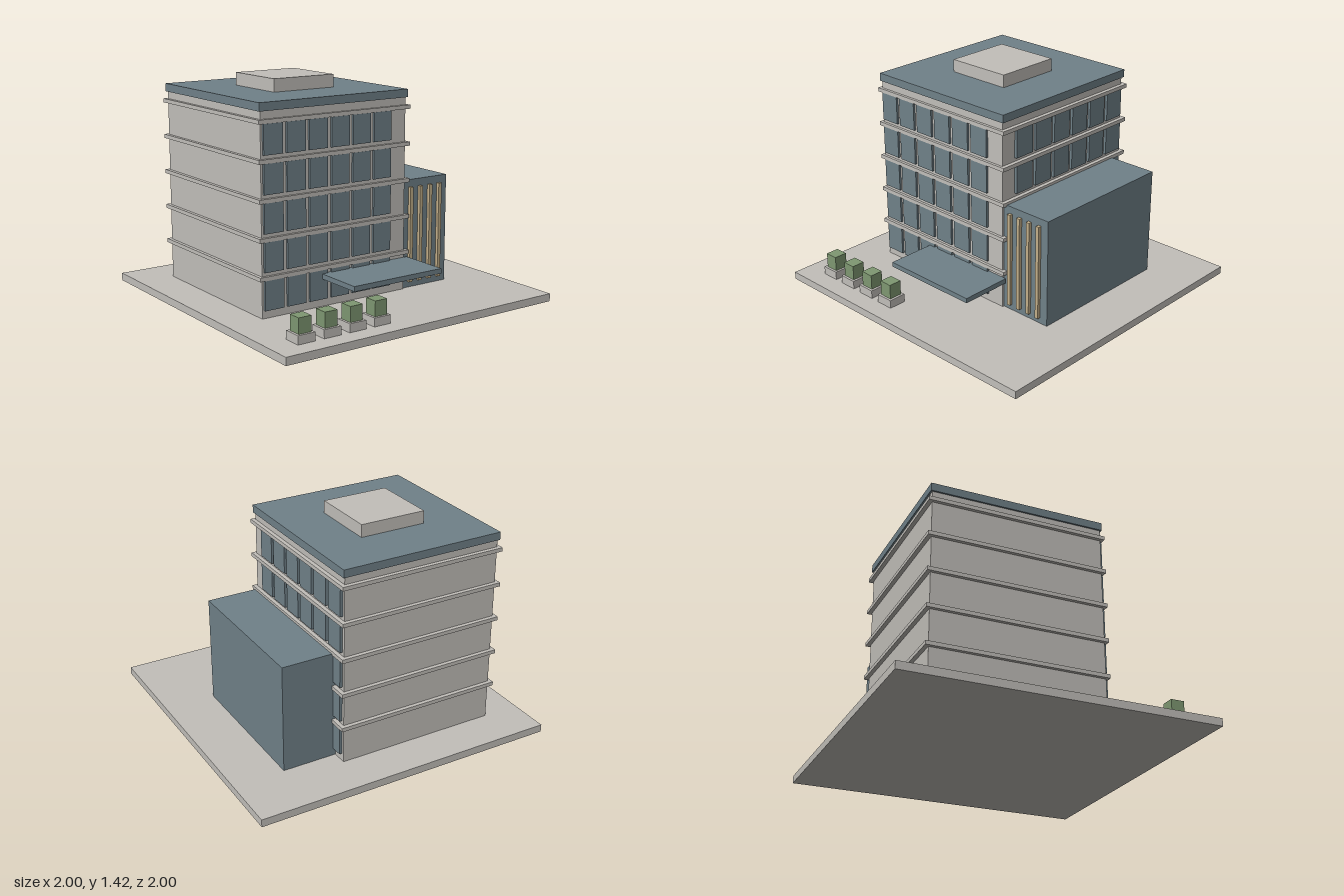
import * as THREE from 'three';

export function createModel() {
  const model = new THREE.Group();
  model.name = 'officeBuilding';

  const mat = (name, color) => {
    const m = new THREE.MeshStandardMaterial({ color });
    m.name = name;
    return m;
  };
  const concrete = mat('paleConcrete', 0xc2bfba);
  const slate = mat('slateBlue', 0x708189);
  const tan = mat('tanWood', 0xc4b08a);
  const green = mat('hedgeGreen', 0x7f9872);

  // box given by its extents along each axis
  const box = (name, material, [x0, x1], [y0, y1], [z0, z1], parent = model) => {
    const mesh = new THREE.Mesh(new THREE.BoxGeometry(x1 - x0, y1 - y0, z1 - z0), material);
    mesh.position.set((x0 + x1) / 2, (y0 + y1) / 2, (z0 + z1) / 2);
    mesh.name = name;
    parent.add(mesh);
  };
  const around = (c, size) => [c - size / 2, c + size / 2];
  const group = (name) => {
    const g = new THREE.Group();
    g.name = name;
    model.add(g);
    return g;
  };

  // ground slab, tower, roof
  box('groundSlab', concrete, [-1, 1], [0, 0.05], [-1, 1]);
  box('tower', concrete, [-0.757, 0.307], [0.05, 1.287], [-0.731, 0.38]);
  box('roofSlab', slate, [-0.768, 0.32], [1.287, 1.338], [-0.742, 0.388]);
  box('roofPlantRoom', concrete, [-0.445, -0.003], [1.338, 1.42], [-0.4, 0.044]);

  // floors: a ledge all round, windows on the front and the left side
  const ledges = group('ledges');
  const frontWindows = group('frontWindows');
  const sideWindows = group('sideWindows');
  for (let floor = 0; floor < 5; floor++) {
    const rise = floor * 0.2328;
    box('ledge', concrete, [-0.779, 0.333], around(0.296 + rise, 0.025), [-0.757, 0.398], ledges);
    for (let col = 0; col < 6; col++) {
      const y = around(0.191 + rise, 0.183);
      box('frontWindow', slate, around(-0.677 + col * 0.1595, 0.133), y, [0.375, 0.395], frontWindows);
      box('sideWindow', slate, [0.3, 0.325], y, around(0.203 - col * 0.169, 0.141), sideWindows);
    }
  }

  // side wing with vertical fins
  box('sideWing', slate, [0.306, 0.664], [0.05, 0.757], [-0.634, 0.367]);
  const fins = group('fins');
  for (let i = 0; i < 4; i++) {
    box('fin', tan, around(0.364 + i * 0.0777, 0.024), [0.088, 0.71], [0.36, 0.389], fins);
  }

  // entrance canopy
  box('entranceCanopy', slate, [-0.335, 0.333], [0.228, 0.26], [0.38, 0.72]);

  // planters with clipped hedges
  const planters = group('planters');
  for (let i = 0; i < 4; i++) {
    const x = -0.78 + i * 0.178;
    box('planterBox', concrete, around(x, 0.118), [0.05, 0.104], around(0.818, 0.118), planters);
    box('hedge', green, around(x, 0.087), [0.104, 0.2], around(0.818, 0.087), planters);
  }

  return model;
}
